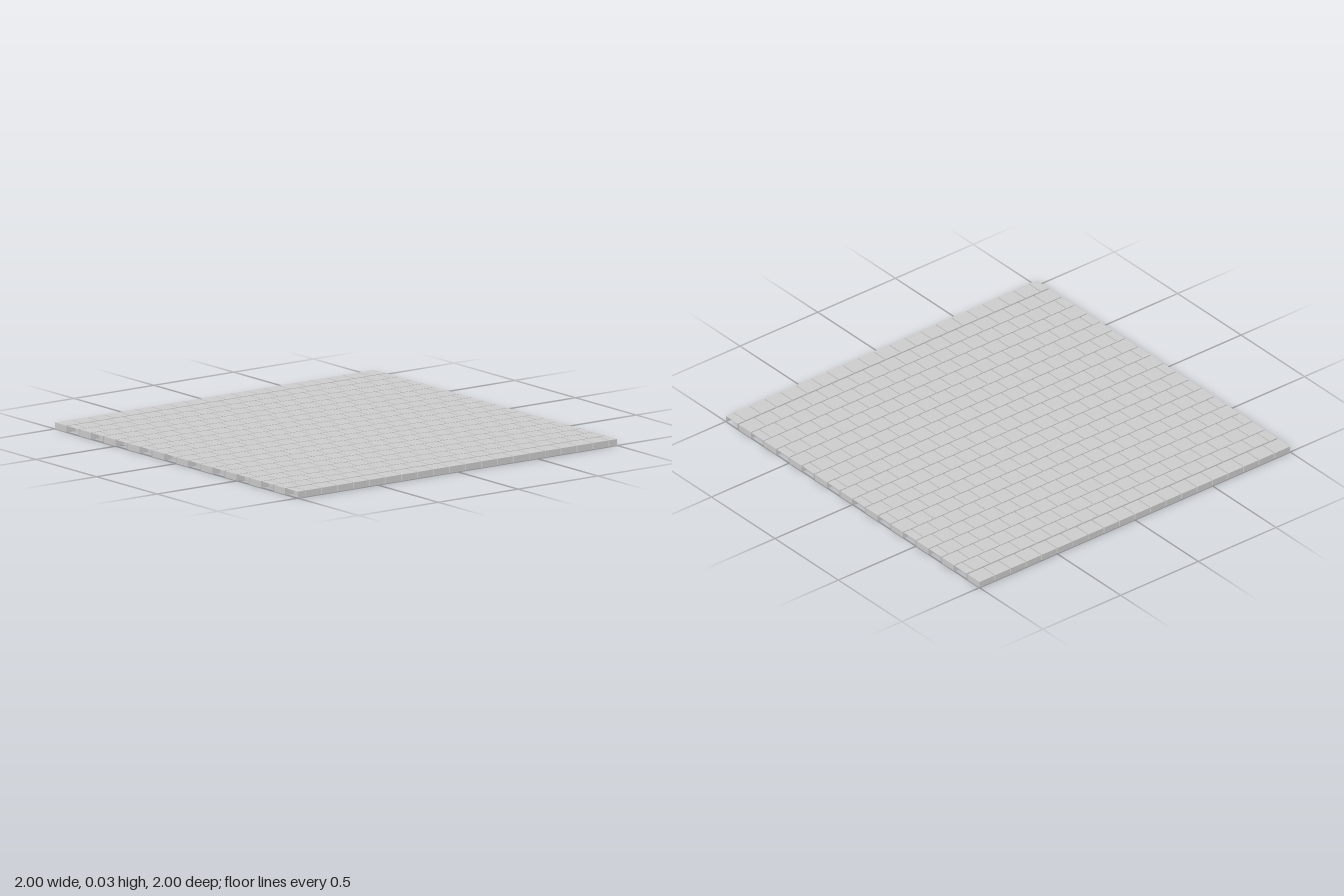
import * as THREE from 'three';
import { mergeGeometries } from 'three/addons/utils/BufferGeometryUtils.js';

const SIZE = 2, ROWS = 20, PITCH = SIZE / ROWS, GAP = 0.006, HEIGHT = 0.033;
// Order of the six faces in a BoxGeometry
const FACES = ['right', 'left', 'top', 'bottom', 'front', 'back'];

// Hollow paving stone between x0 and x1, with the named faces left open
function stone(x0, x1, open) {
  const geometry = new THREE.BoxGeometry(x1 - x0, HEIGHT, PITCH - GAP);
  const index = Array.from(geometry.index.array);
  geometry.setIndex(index.filter((_, i) => !open.includes(FACES[Math.floor(i / 6)])));
  geometry.clearGroups();
  return geometry.translate((x0 + x1) / 2, HEIGHT / 2, 0);
}

// One course of stones; a staggered course ends in cut half stones with open ends
function courseGeometry(staggered) {
  const half = SIZE / 2, stones = [];
  const start = -half - (staggered ? PITCH / 2 : 0);
  const count = staggered ? ROWS + 1 : ROWS;
  for (let i = 0; i < count; i++) {
    const a = start + i * PITCH, open = ['bottom'];
    let x0 = a + GAP / 2, x1 = a + PITCH - GAP / 2;
    if (i === 0) {
      x0 = -half;
      if (staggered) open.push('left');
    }
    if (i === count - 1) {
      x1 = half;
      if (staggered) open.push('right');
    }
    stones.push(stone(x0, x1, open));
  }
  return mergeGeometries(stones);
}

export function createModel() {
  const group = new THREE.Group();
  group.name = 'pavement';
  const material = new THREE.MeshStandardMaterial({ color: 0xcccccc, side: THREE.DoubleSide });
  const courses = [courseGeometry(false), courseGeometry(true)];

  // Running bond: courses alternate from back to front
  for (let row = 0; row < ROWS; row++) {
    const course = new THREE.Mesh(courses[row % 2], material);
    course.name = row % 2 ? 'staggeredStoneCourse' : 'stoneCourse';
    course.position.z = -SIZE / 2 + (row + 0.5) * PITCH;
    // Keep the outer faces flush with the slab edges
    if (row === 0) course.position.z -= GAP / 2;
    if (row === ROWS - 1) course.position.z += GAP / 2;
    group.add(course);
  }
  return group;
}
